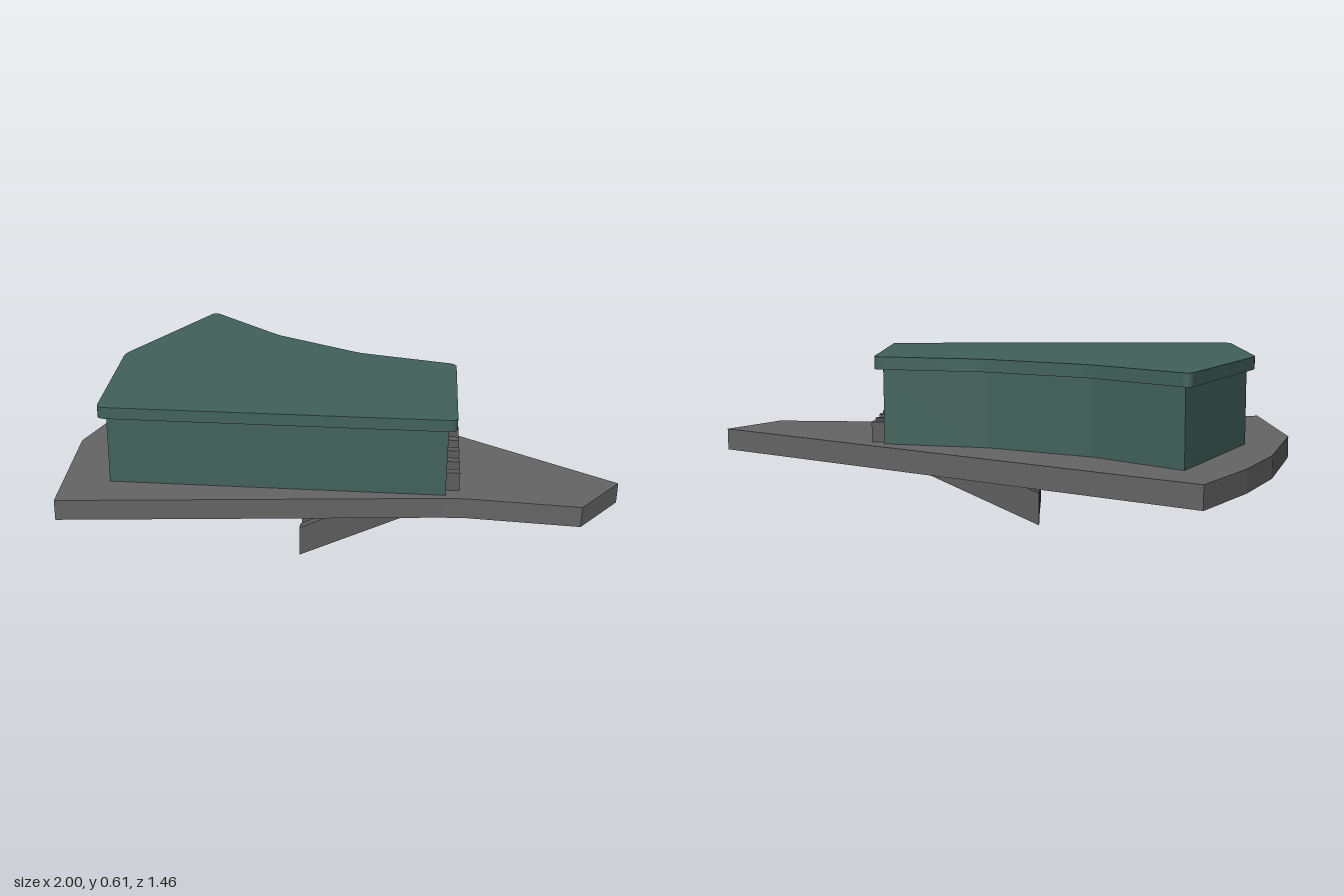
import * as THREE from 'three';

const paint = (color) => new THREE.MeshStandardMaterial({ color, side: THREE.DoubleSide });
const teal = paint(0x41625a), stone = paint(0x656565), metal = paint(0x5c5c5c);
const black = paint(0x080808), pale = paint(0xa0a0a0);

// Plan outlines as [x, z]
const plateOutline = [[-1, -0.69], [1, -0.735], [1, -0.47], [0.65, -0.26], [0.58, -0.205],
  [-0.47, 0.727], [-0.805, 0.3], [-0.94, -0.11], [-0.985, -0.38]];
const roofOutline = [[-0.875, -0.555], [-0.47, -0.507], [-0.08, -0.555], [0.285, -0.7],
  [0.615, -0.225], [-0.445, 0.525], [-0.785, 0.065]];

// Entrance frame: t runs inwards through the doorway, s runs along it
const door = { x: 0.455, z: -0.47, along: [0.571, 0.821], inward: [-0.821, 0.571] };
const atDoor = (t, s) => [
  door.x + t * door.inward[0] + s * door.along[0],
  door.z + t * door.inward[1] + s * door.along[1]];

const vectors = (points) => points.map(([x, z]) => new THREE.Vector2(x, -z));

// Moves every edge of a plan outline inwards by d, with mitred corners
function inset(points, d) {
  const n = points.length;
  const normal = (a, b) => {
    const dx = b[0] - a[0], dz = b[1] - a[1], l = Math.hypot(dx, dz);
    return [-dz / l, dx / l];
  };
  return points.map((p, i) => {
    const a = normal(points[(i + n - 1) % n], p), b = normal(p, points[(i + 1) % n]);
    const k = d / (1 + a[0] * b[0] + a[1] * b[1]);
    return [p[0] + k * (a[0] + b[0]), p[1] + k * (a[1] + b[1])];
  });
}

// Plan shape with small rounded corners
function roundedShape(points, r) {
  const v = vectors(points), n = v.length, shape = new THREE.Shape();
  v.forEach((p, i) => {
    const toward = (q) => p.clone().add(q.clone().sub(p).setLength(r));
    const a = toward(v[(i + n - 1) % n]), b = toward(v[(i + 1) % n]);
    if (i) shape.lineTo(a.x, a.y); else shape.moveTo(a.x, a.y);
    shape.quadraticCurveTo(p.x, p.y, b.x, b.y);
  });
  shape.closePath();
  return shape;
}

function mesh(name, geometry, material) {
  const m = new THREE.Mesh(geometry, material);
  m.name = name;
  return m;
}

// Extrudes a plan shape between two heights
function slab(name, shape, y0, y1, material) {
  const g = new THREE.ExtrudeGeometry(shape, { depth: y1 - y0, bevelEnabled: false, curveSegments: 5 });
  g.rotateX(-Math.PI / 2).translate(0, y0, 0);
  return mesh(name, g, material);
}

// Extrudes a side profile of [t, y] points, centred on z
function profile(name, points, width, z, material) {
  const shape = new THREE.Shape(points.map(([t, y]) => new THREE.Vector2(t, y)));
  const g = new THREE.ExtrudeGeometry(shape, { depth: width, bevelEnabled: false });
  return mesh(name, g.translate(0, 0, z - width / 2), material);
}

function box(name, t0, t1, y0, y1, width, material) {
  const g = new THREE.BoxGeometry(t1 - t0, y1 - y0, width);
  return mesh(name, g.translate((t0 + t1) / 2, (y0 + y1) / 2, 0), material);
}

export function createModel() {
  const model = new THREE.Group();
  model.name = 'stationEntrance';

  // Ground plate with the stairwell cut through it
  const plate = new THREE.Shape(vectors(plateOutline));
  plate.holes.push(new THREE.Path(vectors(
    [atDoor(0.08, -0.22), atDoor(0.37, -0.22), atDoor(0.37, 0.22), atDoor(0.08, 0.22)])));
  model.add(slab('groundPlate', plate, 0.222, 0.3, stone));

  // Hollow walls, open at the doorway
  const fromDoor = (p) => [...p.slice(4), ...p.slice(0, 4)];
  const outer = fromDoor(inset(roofOutline, 0.03));
  const inner = fromDoor(inset(roofOutline, 0.055)).reverse();
  const ring = [...outer, atDoor(0.04, -0.215), atDoor(0.065, -0.215),
    ...inner, atDoor(0.065, 0.235), atDoor(0.04, 0.235)];
  model.add(slab('walls', new THREE.Shape(vectors(ring)), 0.3, 0.565, teal));

  // Overhanging roof
  model.add(slab('roof', roundedShape(roofOutline, 0.03), 0.563, 0.607, teal));

  // Everything aligned with the doorway: local x = inwards, local z = along it
  const entrance = new THREE.Group();
  entrance.name = 'entrance';
  entrance.position.set(door.x, 0, door.z);
  entrance.rotation.y = Math.atan2(-door.inward[1], door.inward[0]);
  model.add(entrance);

  entrance.add(box('lintel', 0.041, 0.064, 0.525, 0.565, 0.48, teal));
  entrance.add(box('darkBackPanel', 0.368, 0.376, 0.18, 0.564, 0.47, black));

  // Blank slanted sign plaque above the doorway
  const plaque = new THREE.Shape([[-0.144, 0.556], [-0.105, 0.51], [0.14, 0.51], [0.142, 0.525], [0.125, 0.556]]
    .map(([s, y]) => new THREE.Vector2(s, y)));
  const plaqueGeometry = new THREE.ExtrudeGeometry(plaque, { depth: 0.02, bevelEnabled: false });
  entrance.add(mesh('signPlaque', plaqueGeometry.rotateY(Math.PI / 2).translate(0.02, 0, 0), pale));

  // Five sloping balustrades
  const rail = [[-0.012, 0.27], [0.0, 0.27], [0.575, 0], [0.575, 0.115], [0.035, 0.37], [-0.012, 0.37]];
  for (let i = -2; i <= 2; i++) entrance.add(profile('balustrade', rail, 0.036, i * 0.1, metal));

  // Four flights of steps between them
  const flight = [[0.575, 0.05], [0.06, 0.265], [0.0, 0.265], [0.0, 0.302]];
  const steps = 14, run = 0.515 / steps, rise = 0.225 / steps;
  for (let k = 0; k < steps; k++) {
    const t = 0.06 + k * run, y = 0.302 - k * rise;
    flight.push([t, y], [t, y - rise]);
  }
  flight.push([0.575, 0.302 - steps * rise]);
  for (let i = -1.5; i <= 1.5; i++) entrance.add(profile('stairFlight', flight, 0.066, i * 0.1, metal));

  return model;
}
